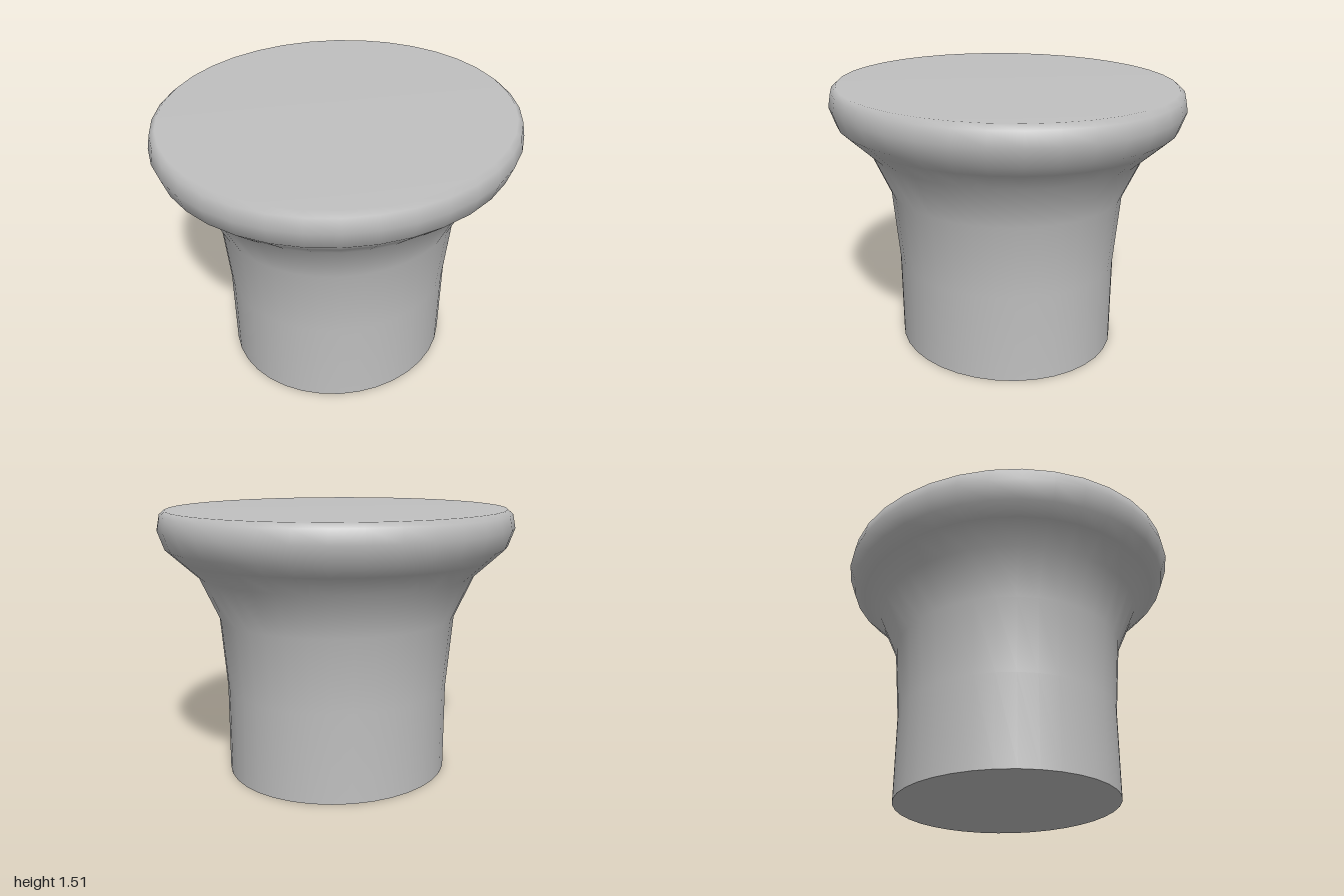
import * as THREE from 'three';

const SIDES = 36;
const DEPTH = 0.945; // slightly oval: depth relative to width

export function createModel() {
  const group = new THREE.Group();
  group.name = 'knob';
  const grey = new THREE.MeshStandardMaterial({ color: 0xc0c0c0 });
  grey.name = 'plain grey';

  // Shaft, flare, rounded rim and flat top turned as one smooth body
  const profile = [
    [0.645, 0], [0.645, 0.5], [0.68, 0.91], [0.79, 1.15], [0.9, 1.25],
    [0.965, 1.31], [1, 1.41], [0.985, 1.485], [0.955, 1.51], [0, 1.51],
  ].map(([r, y]) => new THREE.Vector2(r, y));
  const bodyGeometry = new THREE.LatheGeometry(profile, SIDES);
  bodyGeometry.scale(1, 1, DEPTH);
  const body = new THREE.Mesh(bodyGeometry, grey);
  body.name = 'knobBody';

  // Flat base with a sharp edge
  const baseGeometry = new THREE.CircleGeometry(0.645, SIDES);
  baseGeometry.rotateX(Math.PI / 2);
  baseGeometry.scale(1, 1, DEPTH);
  const base = new THREE.Mesh(baseGeometry, grey);
  base.name = 'shaftBase';

  group.add(body, base);
  return group;
}
